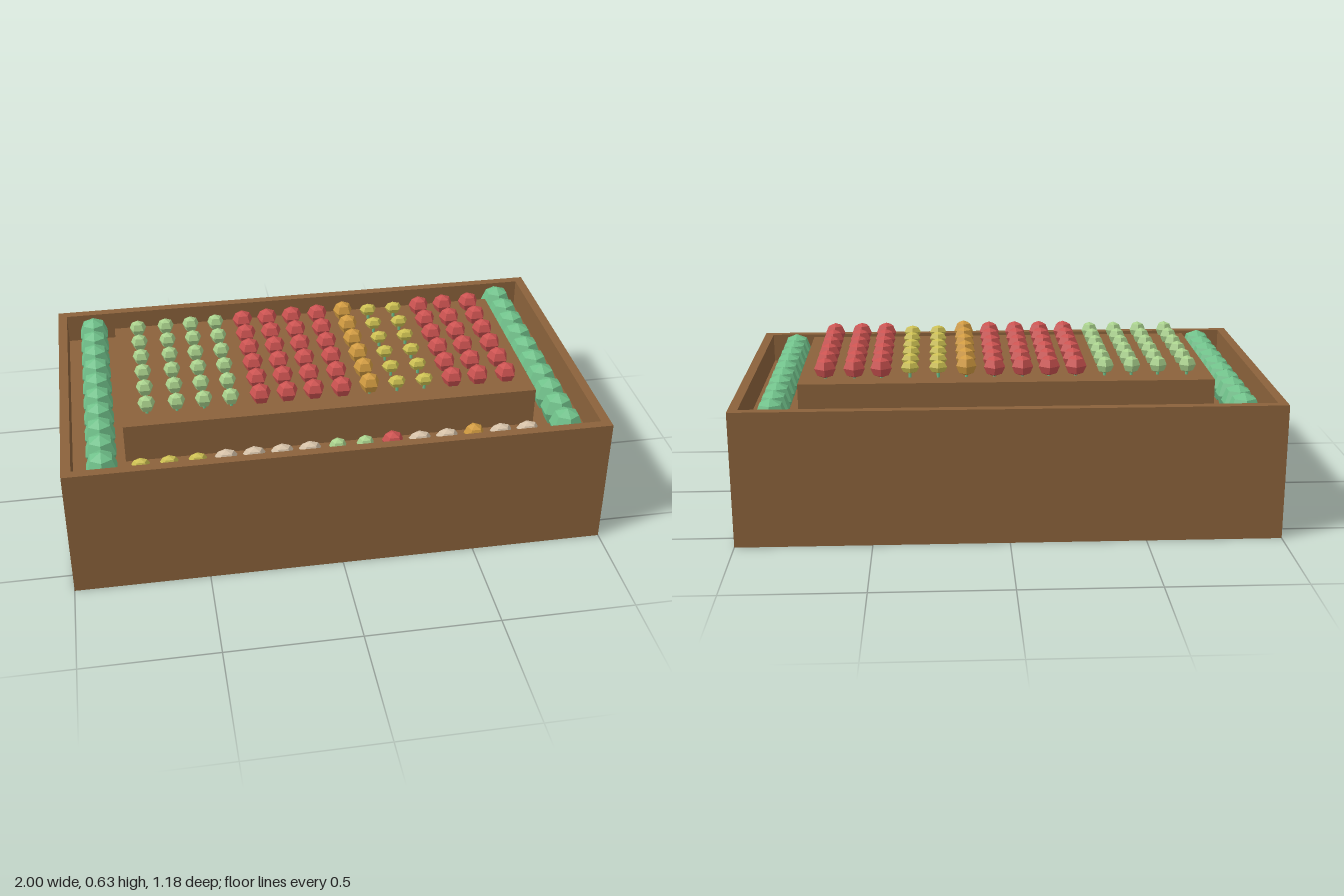
import * as THREE from 'three';

const mat = (name, color) => {
  const m = new THREE.MeshStandardMaterial({ color });
  m.name = name;
  return m;
};

// Faceted ball with one corner pointing to the back
function facetedBall(sides, rx, ry, rz) {
  const g = new THREE.SphereGeometry(1, sides, 4).toNonIndexed();
  g.rotateY(-Math.PI / 2);
  g.scale(rx, ry, rz);
  g.computeVertexNormals();
  return g;
}

export function createModel() {
  const model = new THREE.Group();
  const wood = mat('brown wood', 0x8b623b);
  const leaf = mat('bush green', 0x70c18a);
  const FLOOR = 0.395, RIM = 0.51, BED = 0.545;
  const W = 2, D = 1.18, T = 0.035;

  const add = (parent, name, geometry, material, x, y, z) => {
    const mesh = new THREE.Mesh(geometry, material);
    mesh.name = name;
    mesh.position.set(x, y, z);
    parent.add(mesh);
    return mesh;
  };

  // Planter: solid base, rim walls and raised bed
  add(model, 'planterBase', new THREE.BoxGeometry(W, FLOOR, D), wood, 0, FLOOR / 2, 0);
  const outline = new THREE.Shape([[-1, -1], [1, -1], [1, 1], [-1, 1]]
    .map(([x, y]) => new THREE.Vector2(x * W / 2, y * D / 2)));
  outline.holes.push(new THREE.Path([[-1, -1], [-1, 1], [1, 1], [1, -1]]
    .map(([x, y]) => new THREE.Vector2(x * (W / 2 - T), y * (D / 2 - T)))));
  const rim = new THREE.ExtrudeGeometry(outline, { depth: RIM - FLOOR, bevelEnabled: false });
  rim.rotateX(-Math.PI / 2);
  add(model, 'planterRim', rim, wood, 0, FLOOR, 0);
  add(model, 'raisedBed', new THREE.BoxGeometry(1.545, BED - FLOOR, 0.724), wood, 0, (BED + FLOOR) / 2, 0);

  // Bush hedges along both ends
  const bushGeo = facetedBall(6, 0.064, 0.068, 0.064);
  for (const side of [-1, 1]) {
    const hedge = new THREE.Group();
    hedge.name = side > 0 ? 'leftHedge' : 'rightHedge';
    for (let i = 0; i < 10; i++) add(hedge, 'bush', bushGeo, leaf, side * 0.858, 0.462, -0.483 + i * 0.1073);
    model.add(hedge);
  }

  // Flower kinds: head shape and colour
  const kinds = {
    g: { name: 'budFlower', geo: facetedBall(5, 0.034, 0.033, 0.031), mat: mat('light green', 0xa9d18c) },
    r: { name: 'redFlower', geo: facetedBall(5, 0.042, 0.039, 0.042), mat: mat('red', 0xcb5250) },
    o: { name: 'orangeFlower', geo: facetedBall(5, 0.04, 0.04, 0.04), mat: mat('orange', 0xd09a40) },
    y: { name: 'yellowFlower', geo: facetedBall(5, 0.042 * 0.85, 0.025, 0.026), mat: mat('yellow', 0xcdc052) },
    w: { name: 'creamFlower', geo: facetedBall(5, 0.044, 0.028, 0.031), mat: mat('cream', 0xd6c2a8) },
  };
  const stemGeo = new THREE.CylinderGeometry(0.006, 0.006, 0.04, 5);
  const plant = (parent, key, x, ground, z, lift) => {
    const k = kinds[key];
    add(parent, k.name, k.geo, k.mat, x, ground + lift, z);
    add(parent, 'stem', stemGeo, leaf, x, ground + 0.02, z);
  };

  // Main bed: six rows of the same column pattern
  const columns = [-0.68, -0.57, -0.47, -0.37, -0.26, -0.16, -0.06, 0.045, 0.15, 0.255, 0.36, 0.467, 0.567, 0.675];
  const bed = new THREE.Group();
  bed.name = 'bedFlowers';
  for (let row = 0; row < 6; row++) {
    columns.forEach((x, i) => plant(bed, 'ggggrrrroyyrrr'[i], x, BED, -0.28 + row * 0.112,
      'ggggrrrroyyrrr'[i] === 'o' ? 0.045 : 0.04));
  }
  model.add(bed);

  // Border rows in the trough in front and behind
  const border = (name, pattern, z) => {
    const group = new THREE.Group();
    group.name = name;
    [...pattern].forEach((key, i) => plant(group, key, -0.72 + i * 0.1033, FLOOR, z, 0.036));
    model.add(group);
  };
  border('frontBorder', 'yyywwwwggrwwoww', 0.442);
  border('backBorder', 'gggggyyyyyyyyyy', -0.453);

  return model;
}
